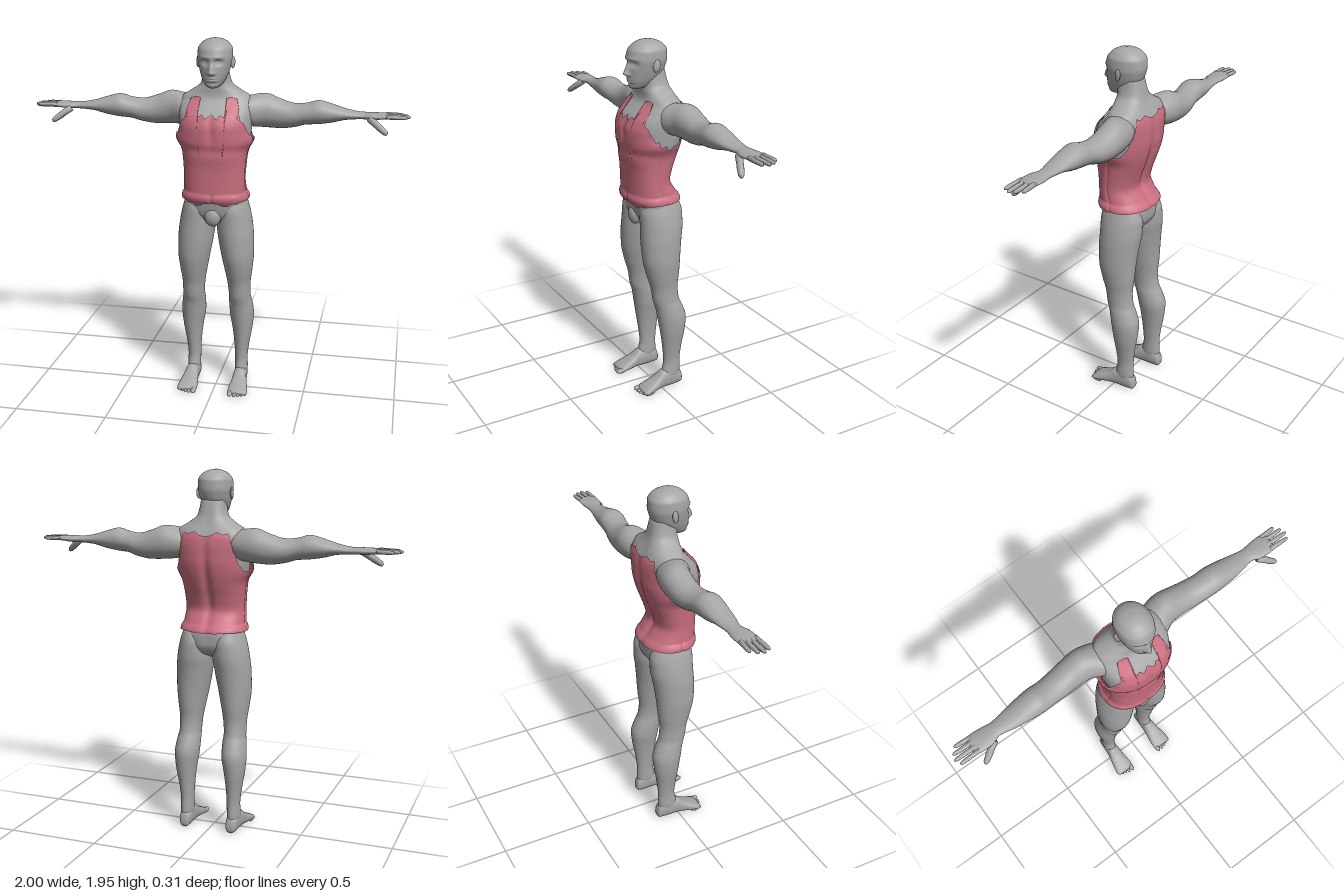
import * as THREE from 'three';

const skin = new THREE.MeshStandardMaterial({ color: 0xa6a6a6 });
skin.name = 'grey skin';
const cloth = new THREE.MeshStandardMaterial({ color: 0xca6f80, side: THREE.DoubleSide });
cloth.name = 'rose cloth';

const bump = (v, c, w) => Math.exp(-(((v - c) / w) ** 2));
const pow = (v, e) => Math.sign(v) * Math.abs(v) ** e;

// Smooth monotone interpolation of a section table [k, aMin, aMax, bMin, bMax] at k
function sectionAt(table, k) {
  let i = 0;
  while (i < table.length - 2 && k > table[i + 1][0]) i++;
  const grad = (j, c) => (table[j + 1][c] - table[j][c]) / (table[j + 1][0] - table[j][0]);
  const slope = (j, c) => {
    if (j === 0) return grad(0, c);
    if (j === table.length - 1) return grad(j - 1, c);
    const p = grad(j - 1, c), q = grad(j, c);
    return p * q <= 0 ? 0 : (2 * p * q) / (p + q);
  };
  const h = table[i + 1][0] - table[i][0], t = (k - table[i][0]) / h;
  return table[i].map((v, c) => c === 0 ? k
    : v * (1 + 2 * t) * (1 - t) ** 2 + table[i + 1][c] * t * t * (3 - 2 * t)
      + h * (slope(i, c) * t * (1 - t) ** 2 + slope(i + 1, c) * t * t * (t - 1)));
}

// Point on a superellipse section, pushed outwards by d
function ringPoint([k, a0, a1, b0, b1], axis, th, e, d = 0) {
  const a = (a0 + a1) / 2 + ((a1 - a0) / 2 + d) * pow(Math.sin(th), e);
  const b = (b0 + b1) / 2 + ((b1 - b0) / 2 + d) * pow(Math.cos(th), e);
  return axis === 'y' ? new THREE.Vector3(a, k, b)
    : axis === 'x' ? new THREE.Vector3(k, b, a) : new THREE.Vector3(b, a, k);
}

function buildGeometry(points, index) {
  const g = new THREE.BufferGeometry().setFromPoints(points);
  g.setIndex(index);
  g.computeVertexNormals();
  return g;
}

// Closed smooth skin through the sections of a table
function loft(axis, table, { e = 1, seg = 32, sub = 4, shape = (p) => p } = {}) {
  const pts = [], idx = [];
  const rows = (table.length - 1) * sub;
  for (let r = 0; r <= rows; r++) {
    const i = Math.min(Math.floor(r / sub), table.length - 2);
    const k = table[i][0] + (table[i + 1][0] - table[i][0]) * (r / sub - i);
    const s = sectionAt(table, k);
    for (let j = 0; j < seg; j++) pts.push(shape(ringPoint(s, axis, (j / seg) * Math.PI * 2, e)));
  }
  for (let r = 0; r < rows; r++) for (let j = 0; j < seg; j++) {
    const a = r * seg + j, b = r * seg + (j + 1) % seg;
    idx.push(a, b, b + seg, a, b + seg, a + seg);
  }
  for (const r of [0, rows]) {
    const c = new THREE.Vector3(), n = pts.length;
    for (let j = 0; j < seg; j++) c.addScaledVector(pts[r * seg + j], 1 / seg);
    pts.push(c);
    for (let j = 0; j < seg; j++) {
      const a = r * seg + j, b = r * seg + (j + 1) % seg;
      idx.push(n, ...(r ? [a, b] : [b, a]));
    }
  }
  return buildGeometry(pts, idx);
}

// Torso from crotch to neck: [y, xMin, xMax, zBack, zFront]
const torsoTable = [
  [0.97, 0.03, -0.05, 0.05], [1.0, 0.1, -0.11, 0.085], [1.05, 0.168, -0.133, 0.105],
  [1.1, 0.165, -0.135, 0.115], [1.15, 0.16, -0.118, 0.125], [1.23, 0.155, -0.078, 0.127],
  [1.29, 0.158, -0.092, 0.13], [1.36, 0.165, -0.118, 0.14], [1.43, 0.182, -0.14, 0.148],
  [1.5, 0.19, -0.152, 0.149], [1.56, 0.195, -0.153, 0.13], [1.61, 0.198, -0.147, 0.085],
  [1.65, 0.18, -0.13, 0.053], [1.68, 0.133, -0.115, 0.048], [1.72, 0.082, -0.1, 0.048],
  [1.76, 0.07, -0.09, 0.052], [1.8, 0.064, -0.08, 0.045],
].map(([y, w, b, f]) => [y, -w, w, b, f]);

// Spine furrow, breastbone furrow and belly relief
function torsoShape(p) {
  if (p.z < -0.03) p.z += 0.016 * bump(p.x, 0, 0.025) * bump(p.y, 1.36, 0.25);
  if (p.z > 0.03) {
    p.z -= 0.01 * bump(p.x, 0, 0.02) * bump(p.y, 1.5, 0.07);
    p.z -= 0.006 * bump(p.y, 1.39, 0.025);
  }
  return p;
}
const TORSO_E = 0.85;

// Ragged hem and upper edge of the vest: [degrees from front, y]
const upperEdge = [[0, 1.58], [6, 1.555], [10, 1.578], [16, 1.565], [17, 1.6], [18, 1.655],
  [27, 1.66], [36, 1.65], [37, 1.61], [43, 1.55], [52, 1.535], [61, 1.5], [70, 1.465], [75, 1.475],
  [80, 1.435], [87, 1.45], [92, 1.42], [100, 1.44], [112, 1.44], [125, 1.48], [136, 1.55],
  [142, 1.6], [145, 1.64], [155, 1.632], [165, 1.645], [172, 1.63], [180, 1.62]];
const lowerEdge = [[0, 1.108], [10, 1.105], [16, 1.09], [27, 1.088], [32, 1.103], [45, 1.1],
  [50, 1.11], [90, 1.115], [140, 1.118], [180, 1.112]];
function edgeAt(edge, deg) {
  let i = 0;
  while (i < edge.length - 2 && deg > edge[i + 1][0]) i++;
  return THREE.MathUtils.mapLinear(deg, edge[i][0], edge[i + 1][0], edge[i][1], edge[i + 1][1]);
}

// Vest: a shell just outside the torso, with a rolled waistband and side seams
function vestGeometry() {
  const seg = 240, rows = 64, pts = [], idx = [];
  for (let r = 0; r <= rows; r++) for (let j = 0; j < seg; j++) {
    const th = (j / seg) * Math.PI * 2;
    const deg = 180 - Math.abs(180 - (j / seg) * 360);
    const y = THREE.MathUtils.lerp(edgeAt(lowerEdge, deg), edgeAt(upperEdge, deg), r / rows);
    const d = 0.008 + 0.011 * Math.max(0, 1 - ((y - 1.125) / 0.03) ** 2)
      + 0.016 * bump(y, 1.44, 0.04) * bump(deg, 85, 30)
      - 0.004 * bump(deg, 88, 2) - (y < 1.155 ? 0.006 * bump(deg, 0, 2) : 0);
    pts.push(torsoShape(ringPoint(sectionAt(torsoTable, y), 'y', th, TORSO_E, d)));
    if (r < rows) {
      const a = r * seg + j, b = r * seg + (j + 1) % seg;
      idx.push(a, b, b + seg, a, b + seg, a + seg);
    }
  }
  return buildGeometry(pts, idx);
}

// Head: [y, xMin, xMax, zBack, zFront], then the face is pressed into the front
const headTable = [
  [1.708, 0.012, 0.06, 0.095], [1.716, 0.034, 0.02, 0.108], [1.74, 0.054, -0.03, 0.116],
  [1.78, 0.072, -0.066, 0.119], [1.82, 0.083, -0.086, 0.12], [1.86, 0.09, -0.095, 0.121],
  [1.9, 0.088, -0.093, 0.113], [1.93, 0.07, -0.072, 0.088], [1.948, 0.042, -0.038, 0.055],
  [1.956, 0.006, 0, 0.02],
].map(([y, w, b, f]) => [y, -w, w, b, f]);
function faceShape(p) {
  if (p.z < 0.03) return p;
  const ax = Math.abs(p.x), { y } = p;
  const nose = y > 1.79 ? bump(y, 1.79, 0.04) : bump(y, 1.79, 0.012);
  p.z += 0.027 * bump(ax, 0, 0.014) * nose + 0.008 * bump(ax, 0.014, 0.01) * bump(y, 1.787, 0.01)
    - 0.016 * bump(ax, 0.036, 0.02) * bump(y, 1.842, 0.014)
    + 0.006 * bump(ax, 0.036, 0.012) * bump(y, 1.84, 0.006)
    + 0.005 * bump(ax, 0.03, 0.03) * bump(y, 1.866, 0.01)
    + 0.007 * bump(ax, 0, 0.025) * (bump(y, 1.763, 0.005) + bump(y, 1.749, 0.006))
    - 0.005 * bump(ax, 0, 0.03) * bump(y, 1.736, 0.007);
  return p;
}

// Limbs of the left side
const armTable = [ // [x, zBack, zFront, yMin, yMax]
  [0.09, -0.1, 0.02, 1.53, 1.63], [0.17, -0.14, 0.04, 1.495, 1.655], [0.25, -0.153, 0.008, 1.487, 1.665],
  [0.33, -0.148, 0.0, 1.484, 1.638], [0.41, -0.138, 0.004, 1.495, 1.618], [0.47, -0.127, 0.01, 1.512, 1.624],
  [0.53, -0.124, 0.015, 1.517, 1.64], [0.6, -0.118, 0.01, 1.528, 1.624], [0.68, -0.105, 0.0, 1.547, 1.6],
  [0.76, -0.094, -0.015, 1.552, 1.588], [0.81, -0.1, 0.002, 1.552, 1.588], [0.86, -0.103, 0.004, 1.557, 1.587],
  [0.895, -0.1, 0.0, 1.561, 1.583], [0.903, -0.094, -0.008, 1.566, 1.578]];
const legTable = [ // [y, xIn, xOut, zBack, zFront]
  [0.06, 0.105, 0.168, -0.12, 0.0], [0.1, 0.1, 0.172, -0.12, -0.008], [0.16, 0.1, 0.17, -0.118, -0.02],
  [0.25, 0.095, 0.18, -0.126, -0.012], [0.35, 0.083, 0.197, -0.142, 0.002], [0.43, 0.07, 0.203, -0.149, 0.015],
  [0.5, 0.068, 0.196, -0.128, 0.028], [0.55, 0.07, 0.188, -0.108, 0.044], [0.62, 0.064, 0.189, -0.1, 0.054],
  [0.7, 0.05, 0.199, -0.108, 0.077], [0.8, 0.03, 0.208, -0.115, 0.098], [0.9, 0.012, 0.206, -0.126, 0.102],
  [0.98, 0.003, 0.197, -0.138, 0.1], [1.05, 0.006, 0.182, -0.139, 0.1], [1.12, 0.03, 0.16, -0.115, 0.08]];
const footTable = [ // [z, yMin, yMax, xIn, xOut]
  [-0.131, 0.02, 0.05, 0.118, 0.15], [-0.12, 0.005, 0.085, 0.107, 0.163], [-0.07, 0.002, 0.115, 0.102, 0.17],
  [-0.01, 0.003, 0.11, 0.1, 0.174], [0.03, 0.005, 0.08, 0.096, 0.183], [0.08, 0.003, 0.054, 0.089, 0.194],
  [0.115, 0.003, 0.037, 0.088, 0.198], [0.13, 0.01, 0.026, 0.095, 0.192]];

// Rounded, tapering digit between two points
function digit(from, to, r) {
  const a = new THREE.Vector3(...from), b = new THREE.Vector3(...to), len = a.distanceTo(b);
  const prof = [[0, 0], [r, 0], [r * 0.9, len * 0.4], [r * 0.92, len * 0.55], [r * 0.75, len * 0.88], [r * 0.45, len * 0.97], [0, len]];
  const g = new THREE.LatheGeometry(prof.map((p) => new THREE.Vector2(...p)), 12);
  g.applyQuaternion(new THREE.Quaternion().setFromUnitVectors(new THREE.Vector3(0, 1, 0), b.clone().sub(a).normalize()));
  return g.translate(a.x, a.y, a.z);
}
const ellipsoid = (c, r) => new THREE.SphereGeometry(1, 24, 16).scale(...r).translate(...c);

function mirrored(g) {
  const m = g.clone().scale(-1, 1, 1), ix = m.index.array;
  for (let i = 0; i < ix.length; i += 3) [ix[i], ix[i + 1]] = [ix[i + 1], ix[i]];
  m.computeVertexNormals();
  return m;
}

export function createModel() {
  const model = new THREE.Group();
  model.name = 'figure';
  const add = (name, geometry, material = skin) => {
    const mesh = new THREE.Mesh(geometry, material);
    mesh.name = name;
    model.add(mesh);
  };
  const pair = (name, g) => {
    add('left ' + name, g);
    add('right ' + name, mirrored(g));
  };

  add('torso', loft('y', torsoTable, { e: TORSO_E, seg: 64, shape: torsoShape }));
  add('groin', ellipsoid([0, 1.025, 0.085], [0.045, 0.055, 0.035]));
  add('vest', vestGeometry(), cloth);
  add('head', loft('y', headTable, { e: 0.95, seg: 128, sub: 10, shape: faceShape }));
  pair('ear', ellipsoid([0, 0, 0], [0.009, 0.032, 0.019]).rotateY(-0.35).rotateX(-0.15).translate(0.091, 1.833, 0.006));

  pair('arm', loft('x', armTable, { seg: 40 }));
  const fingers = [[-0.088, -0.095, 0.965], [-0.063, -0.067, 0.99], [-0.037, -0.038, 1.0], [-0.011, -0.008, 0.985]];
  fingers.forEach(([z0, z1, tip], i) => pair('finger ' + (i + 1), digit([0.875, 1.574, z0], [tip, 1.572, z1], 0.0125)));
  pair('thumb', digit([0.795, 1.562, -0.012], [0.888, 1.492, 0.036], 0.019));

  pair('leg', loft('y', legTable, { seg: 40 }));
  pair('foot', loft('z', footTable, { e: 0.85, seg: 32 }));
  const toes = [[0.103, 0.155, 0.0145], [0.128, 0.152, 0.0105], [0.148, 0.146, 0.01], [0.167, 0.138, 0.0095], [0.185, 0.128, 0.0095]];
  toes.forEach(([x, z, r], i) => pair('toe ' + (i + 1), ellipsoid([x, r + 0.002, z - 0.03], [r, r, 0.03])));
  return model;
}
